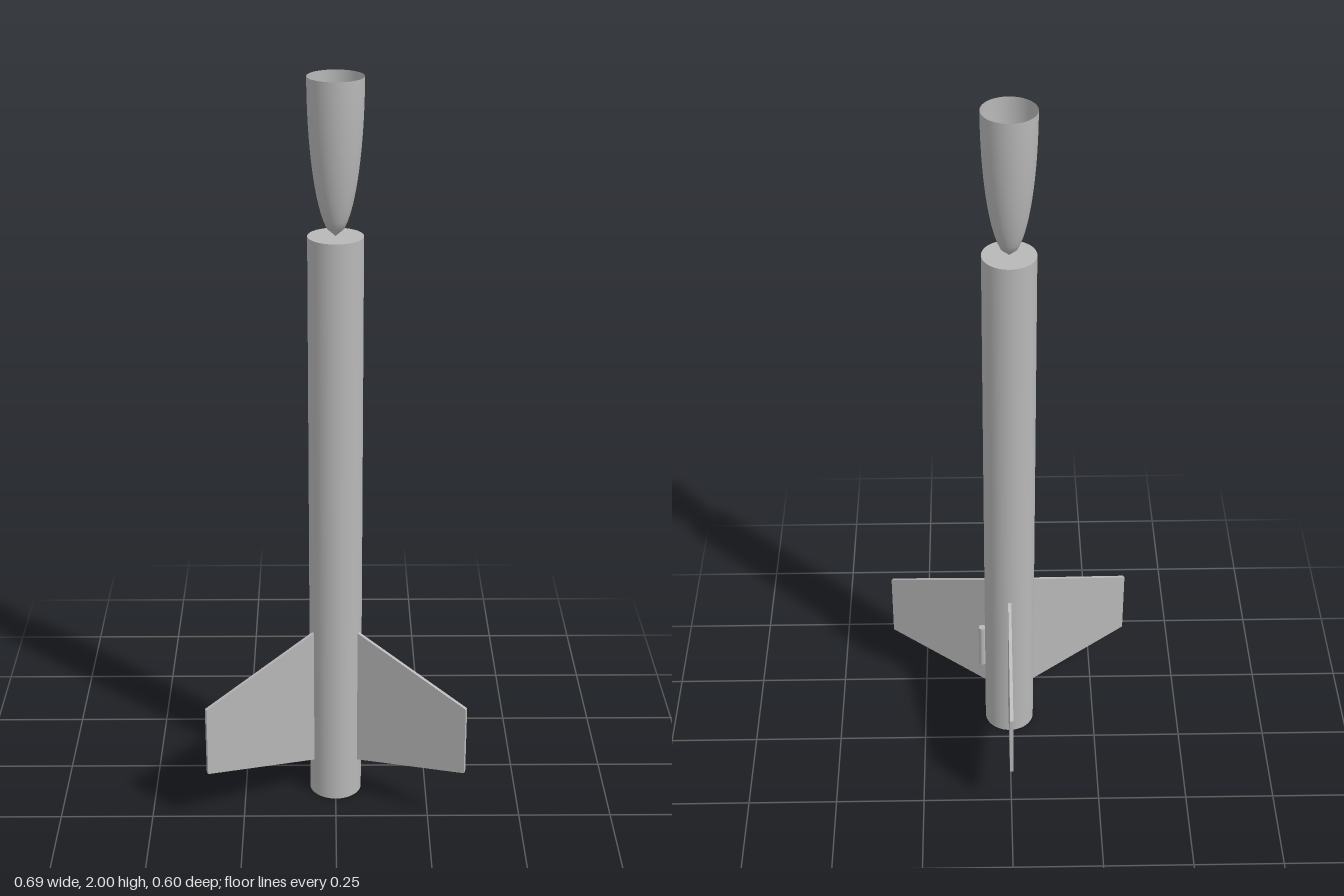
import * as THREE from 'three';

export function createModel() {
  const model = new THREE.Group();
  model.name = 'modelRocket';
  const grey = new THREE.MeshStandardMaterial({ color: 0xb8b8b8 });
  grey.name = 'plainGrey';
  const shellGrey = grey.clone(); // thin open shell shows both faces
  shellGrey.side = THREE.DoubleSide;

  const R = 0.0705, AXIS_Z = 0.097, BODY_TOP = 1.602;
  const rocket = new THREE.Group();
  rocket.name = 'rocket';
  rocket.position.z = AXIS_Z;
  model.add(rocket);

  const add = (name, geometry, material = grey) => {
    const mesh = new THREE.Mesh(geometry, material);
    mesh.name = name;
    rocket.add(mesh);
    return mesh;
  };

  // Body tube, closed at both ends
  add('bodyTube', new THREE.CylinderGeometry(R, R, BODY_TOP, 64))
    .position.y = BODY_TOP / 2;

  // Hollow elliptical nose cone, tip down on the tube and open at the top
  const steps = 20, profile = [];
  for (let i = 0; i <= steps; i++) {
    const t = i / steps;
    profile.push(new THREE.Vector2(
      R * Math.sqrt(1 - (1 - t) ** 2), BODY_TOP + t * (2 - BODY_TOP)));
  }
  add('noseCone', new THREE.LatheGeometry(profile, 64), shellGrey);

  // Three tapered fins, one straight back and two swept to the front
  const thickness = 0.009, root = R - 0.002, tip = 0.397;
  const outline = new THREE.Shape([
    new THREE.Vector2(root, 0.107),
    new THREE.Vector2(tip, 0.168),
    new THREE.Vector2(tip, 0.365),
    new THREE.Vector2(root, 0.505),
  ]);
  const finGeometry = new THREE.ExtrudeGeometry(outline, { depth: thickness, bevelEnabled: false });
  finGeometry.translate(0, 0, -thickness / 2);
  ['backFin', 'rightFin', 'leftFin'].forEach((name, i) => {
    add(name, finGeometry).rotation.y = Math.PI / 2 + i * Math.PI * 2 / 3;
  });

  // Small launch lug on the left side
  add('launchLug', new THREE.CylinderGeometry(0.01, 0.01, 0.14, 24))
    .position.set(R + 0.008, 0.28, 0);

  return model;
}
